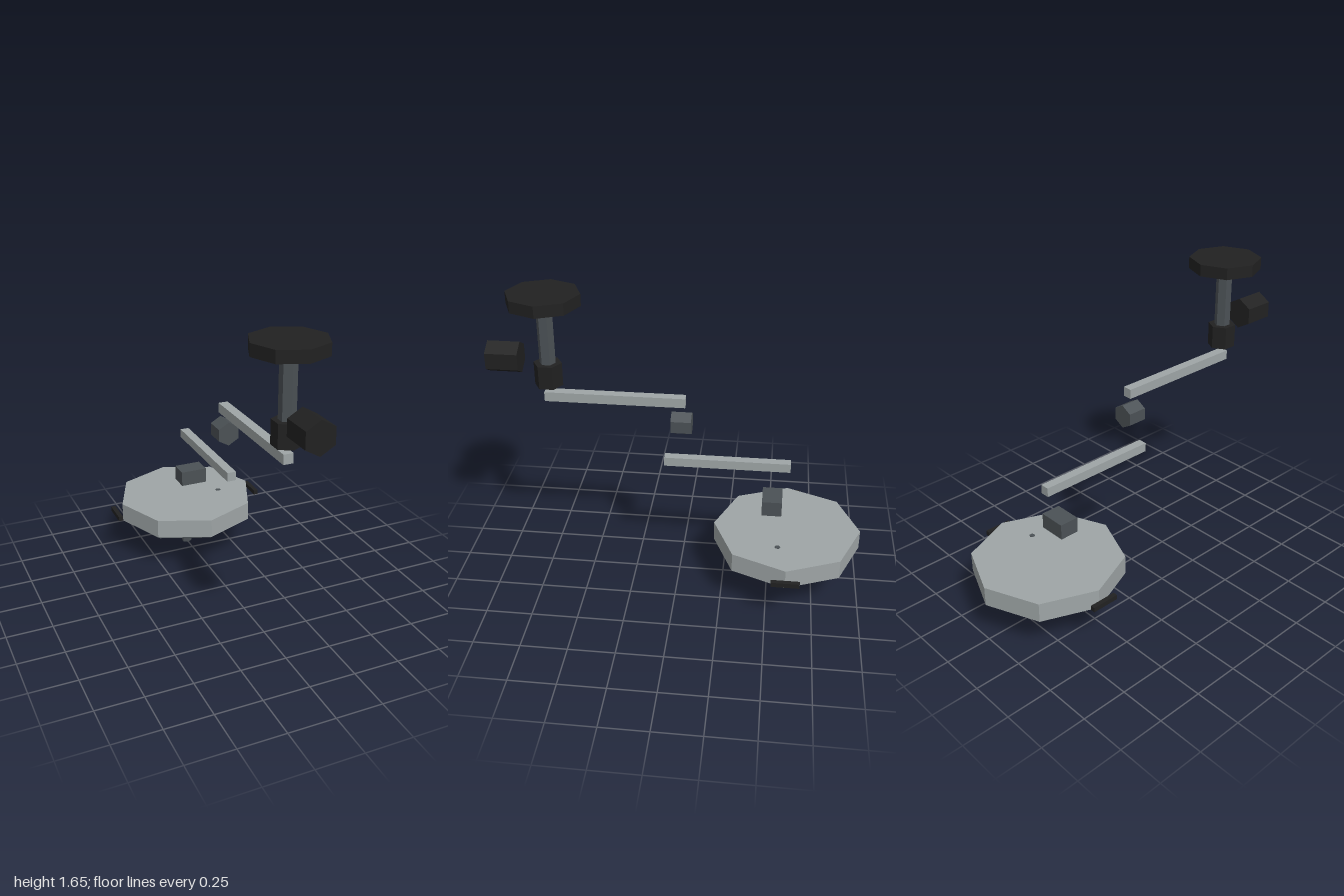
import * as THREE from 'three';

function paint(name, color) {
  const m = new THREE.MeshStandardMaterial({ color });
  m.name = name;
  m.flatShading = true;
  return m;
}

export function createModel() {
  const model = new THREE.Group();
  model.name = 'surgicalLamp';
  const black = paint('black', 0x212121);
  const darkGrey = paint('darkGrey', 0x4b5155);
  const lightGrey = paint('lightGrey', 0x9ea5a6);
  const glass = paint('paleBlue', 0x94c8de);

  function add(name, geometry, material, x, y, z) {
    const mesh = new THREE.Mesh(geometry, material);
    mesh.name = name;
    mesh.position.set(x, y, z);
    model.add(mesh);
    return mesh;
  }
  // upright prism between two heights
  const prism = (name, r, sides, y0, y1, material, x, z) =>
    add(name, new THREE.CylinderGeometry(r, r, y1 - y0, sides), material, x, (y0 + y1) / 2, z);
  // hexagonal prism lying along z
  const hexAlongZ = (name, r, length, material, y, z) =>
    add(name, new THREE.CylinderGeometry(r, r, length, 6).rotateX(Math.PI / 2), material, 0, y, z);
  const box = (name, w, h, d, material, x, y, z) =>
    add(name, new THREE.BoxGeometry(w, h, d), material, x, y, z);

  // ceiling mount
  const mountZ = 0.69;
  prism('ceilingPlate', 0.193, 8, 1.587, 1.65, black, 0, mountZ);
  prism('column', 0.043, 6, 1.2, 1.587, darkGrey, 0, mountZ);
  prism('columnHub', 0.075, 6, 1.142, 1.268, black, 0, mountZ);
  hexAlongZ('shoulderJoint', 0.086, 0.17, black, 1.291, 0.915);

  // arms and joints
  box('upperArm', 0.052, 0.052, 0.745, lightGrey, 0, 1.08, 0.342);
  hexAlongZ('elbowJoint', 0.065, 0.108, darkGrey, 0.952, -0.01);
  box('lowerArm', 0.05, 0.05, 0.68, lightGrey, 0, 0.722, -0.257);
  box('headMount', 0.152, 0.086, 0.108, darkGrey, 0, 0.49, -0.508);

  // lamp head
  const headZ = -0.597;
  prism('lampHousing', 0.404, 8, 0.22, 0.328, lightGrey, 0, headZ);
  prism('lampPanel', 0.382, 8, 0.204, 0.222, darkGrey, 0, headZ);
  prism('topStud', 0.016, 6, 0.324, 0.33, darkGrey, 0.195, -0.55);
  for (const [dx, dz] of [[1, 0], [-1, 0], [0, 1], [0, -1]])
    prism('lens', 0.09, 6, 0.192, 0.206, glass, dx * 0.222, headZ + dz * 0.222);

  // grab bars on both sides
  for (const side of [1, -1])
    box('grabBar', 0.025, 0.026, 0.15, black, side * 0.44, 0.274, headZ);

  // central handle
  prism('handleFlange', 0.045, 6, 0.183, 0.205, black, 0, headZ);
  prism('handleRod', 0.021, 6, 0.03, 0.19, black, 0, headZ);
  prism('handleTip', 0.03, 6, 0, 0.043, darkGrey, 0, headZ);

  return model;
}
